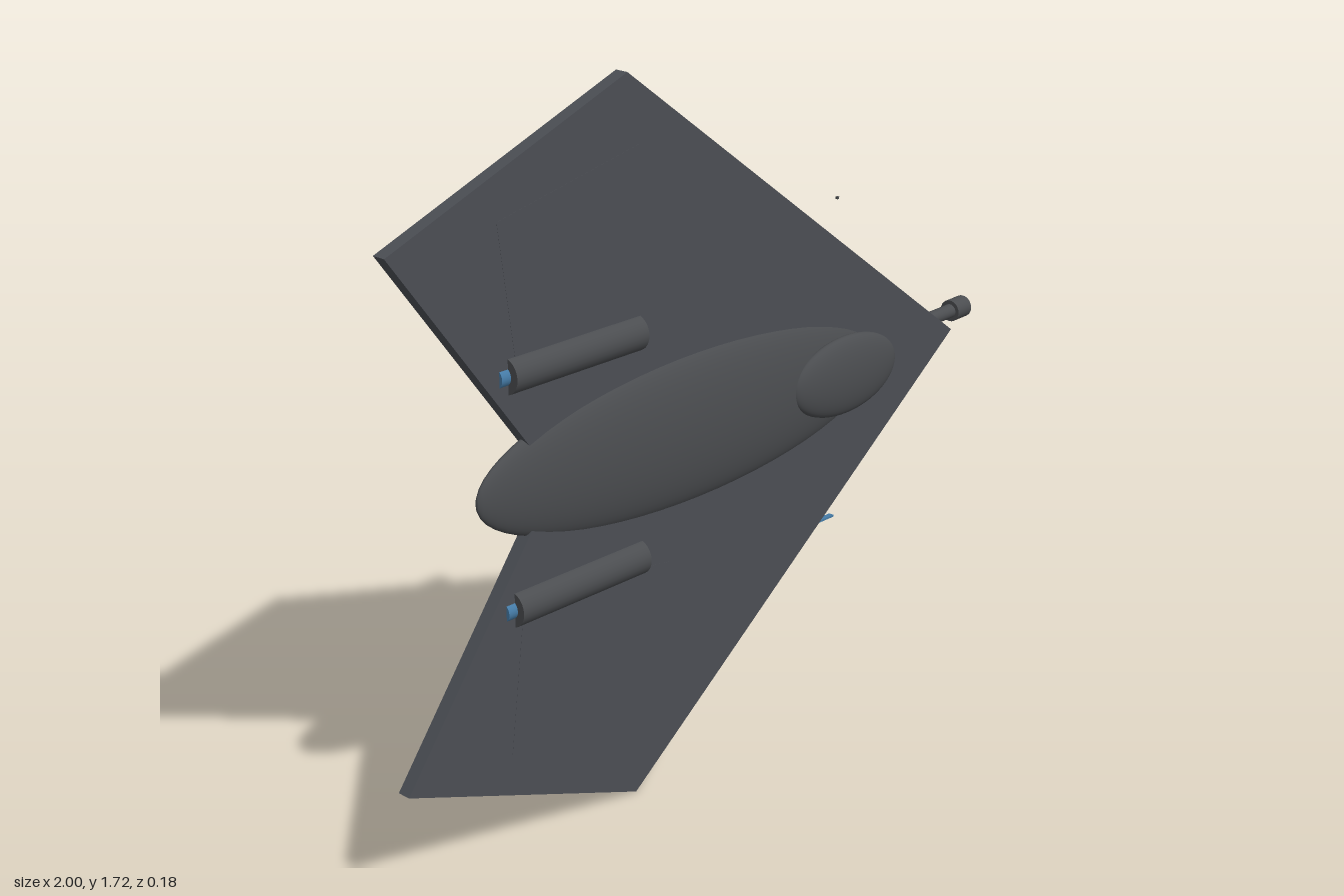
import * as THREE from 'three';

const CY = 0.862; // height of the centre line

export function createModel() {
  const model = new THREE.Group();
  const hull = new THREE.MeshStandardMaterial({ color: 0x4b4e54 });
  hull.name = 'dark slate';
  const metal = new THREE.MeshStandardMaterial({ color: 0x4b4d50 });
  metal.name = 'gunmetal';
  const blue = new THREE.MeshStandardMaterial({ color: 0x457ba6 });
  blue.name = 'steel blue';

  const add = (name, geometry, material, x, y, z) => {
    const mesh = new THREE.Mesh(geometry, material);
    mesh.name = name;
    mesh.position.set(x, y, z);
    model.add(mesh);
    return mesh;
  };
  // cylinder lying along x between x0 and x1
  const rod = (name, r, x0, x1, y, z, material) =>
    add(name, new THREE.CylinderGeometry(r, r, x1 - x0, 24).rotateZ(-Math.PI / 2), material, (x0 + x1) / 2, y, z);
  const ellipsoid = (name, rx, ry, rz, x, z, material) =>
    add(name, new THREE.SphereGeometry(1, 48, 32).rotateZ(Math.PI / 2).scale(rx, ry, rz), material, x, CY, z);
  // flat plate from an outline measured from the centre line
  const plate = (name, points, depth, z, material) => {
    const shape = new THREE.Shape(points.map(([x, y]) => new THREE.Vector2(x, y)));
    return add(name, new THREE.ExtrudeGeometry(shape, { depth, bevelEnabled: false }), material, 0, CY, z);
  };

  // swept wing slab
  plate('wing', [[0.83, 0], [-0.315, 0.862], [-1, 0.603], [-0.55, 0], [-1, -0.603], [-0.315, -0.862]],
    0.034, -0.003, hull);

  // body and canopy
  ellipsoid('fuselage', 0.671, 0.187, 0.05, -0.097, 0.015, metal);
  ellipsoid('canopy', 0.186, 0.099, 0.033, 0.389, 0.054, metal);

  for (const s of [1, -1]) {
    // control surfaces laid into the wing
    plate('flap', [[-0.7, 0.614], [-0.65, 0.24], [-0.195, 0.31], [-0.275, 0.7]].map(([x, y]) => [x, s * y]),
      0.001, 0.0305, hull);

    // engines with glowing exhausts
    const y = CY + s * 0.27;
    rod('engine', 0.043, -0.68, -0.285, y, 0.017, metal);
    rod('exhaust', 0.023, -0.705, -0.679, y, 0.017, blue);

    // paired launch tubes under the wing
    const top = CY + s * 0.501 + 0.026;
    rod('upperTube', 0.022, -0.15, 0.1, top, -0.042, metal);
    rod('tubeCap', 0.022, 0.1, 0.11, top, -0.042, blue);
    rod('lowerTube', 0.022, -0.15, 0.105, top - 0.053, -0.042, metal);
  }

  // rows of floating light strips and small studs
  for (let i = 0; i < 6; i++) {
    add('lightStrip', new THREE.BoxGeometry(0.1, 0.005, 0.014), i % 2 ? blue : metal,
      -0.4 + i * 0.166, 0.434, -0.058);
    add('stud', new THREE.BoxGeometry(0.006, 0.006, 0.006), metal, -0.45 + i * 0.188, 1.26, -0.064);
  }

  // nose gun, tilted slightly backwards
  const barrel = rod('gunBarrel', 0.018, 0.64, 0.955, CY, -0.056, metal);
  barrel.rotation.y = 0.045;
  const muzzle = rod('gunMuzzle', 0.028, 0.943, 0.999, CY, -0.064, metal);
  muzzle.rotation.y = 0.045;

  return model;
}
